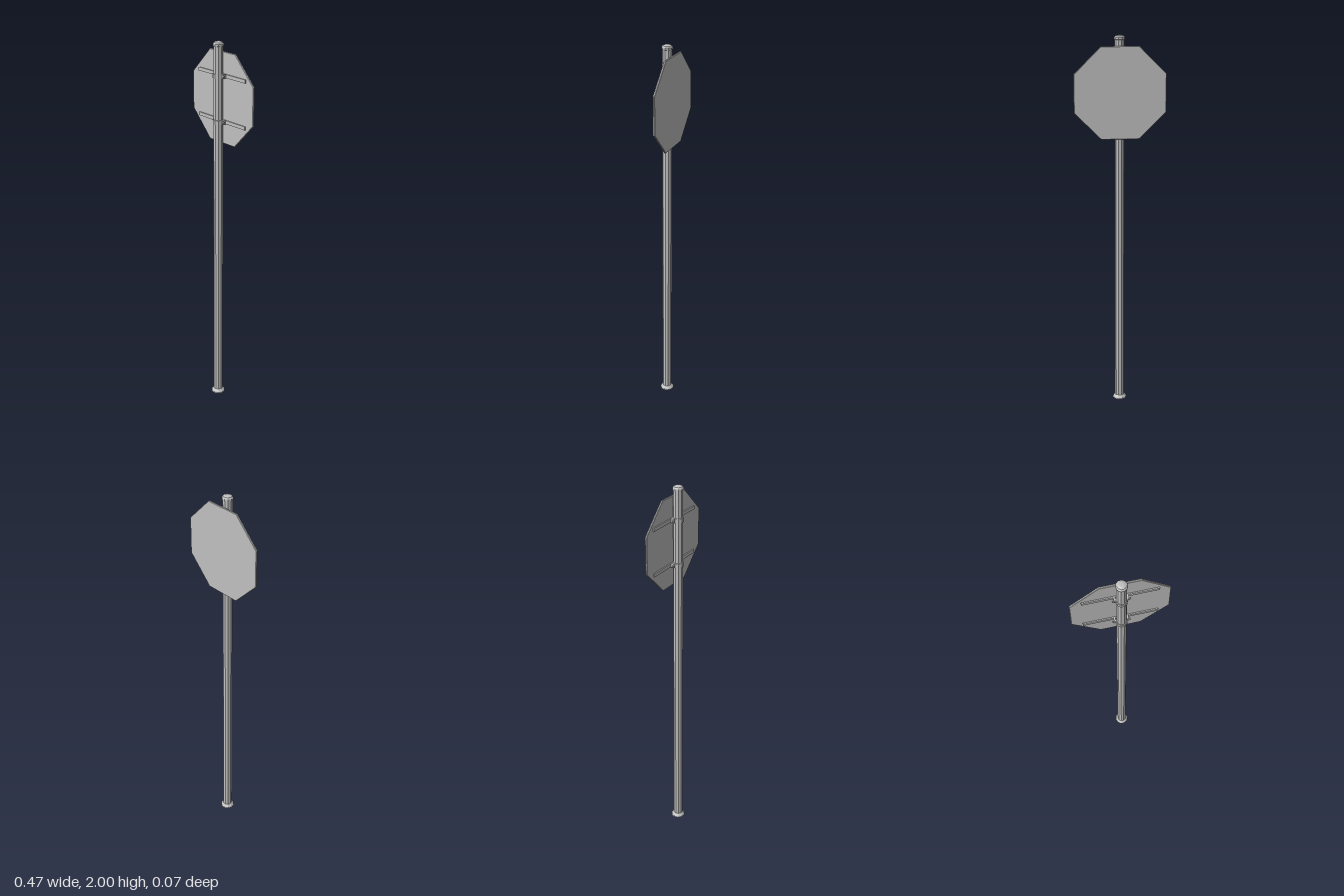
import * as THREE from 'three';

export function createModel() {
  const group = new THREE.Group();
  const metal = new THREE.MeshStandardMaterial({ color: 0xc0c0c0, flatShading: true });
  metal.name = 'galvanised grey';

  const add = (name, geometry, x = 0, y = 0, z = 0, parent = group) => {
    const mesh = new THREE.Mesh(geometry, metal);
    mesh.name = name;
    mesh.position.set(x, y, z);
    parent.add(mesh);
    return mesh;
  };
  // ten-sided turned part with flat sides facing front and back
  const turned = (points) =>
    new THREE.LatheGeometry(points.map(([r, y]) => new THREE.Vector2(r, y)), 10, Math.PI / 10);

  // post, flared foot and domed cap
  add('post', turned([[0, 0.005], [0.025, 0.005], [0.025, 1.985], [0, 1.985]]));
  add('foot', turned([[0, 0], [0.038, 0], [0.037, 0.008], [0.028, 0.019], [0.025, 0.02]]));
  add('cap', turned([[0.024, 1.976], [0.028, 1.978], [0.028, 1.988], [0.023, 1.995], [0.013, 1.999], [0, 2]]));

  // octagonal plate with a small bevelled rim
  const apothem = 0.236, bevel = 0.002;
  const radius = (apothem - bevel) / Math.cos(Math.PI / 8);
  const octagon = new THREE.Shape();
  for (let i = 0; i < 8; i++) {
    const a = (i + 0.5) * Math.PI / 4;
    octagon[i ? 'lineTo' : 'moveTo'](radius * Math.cos(a), radius * Math.sin(a));
  }
  octagon.closePath();
  const plate = new THREE.ExtrudeGeometry(octagon, {
    depth: 0.006, bevelEnabled: true, bevelThickness: bevel, bevelSize: bevel, bevelSegments: 1,
  });
  add('signPlate', plate, 0, 1.71, -0.033);

  // two rails, each clamped to the post
  for (const y of [1.592, 1.828]) {
    const bracket = new THREE.Group();
    bracket.name = 'bracket';
    bracket.position.y = y;
    group.add(bracket);
    add('rail', new THREE.BoxGeometry(0.364, 0.018, 0.007), 0, 0, -0.0225, bracket);
    add('clampBand', turned([[0.024, -0.011], [0.029, -0.011], [0.029, 0.011], [0.024, 0.011]]), 0, 0, 0, bracket);
    for (const side of [-1, 1]) {
      add('clampEar', new THREE.BoxGeometry(0.009, 0.022, 0.022), side * 0.031, 0, -0.011, bracket);
      const bolt = add('bolt', new THREE.CylinderGeometry(0.005, 0.005, 0.014, 6), side * 0.037, 0, -0.003, bracket);
      bolt.rotation.z = Math.PI / 2;
    }
  }
  return group;
}
